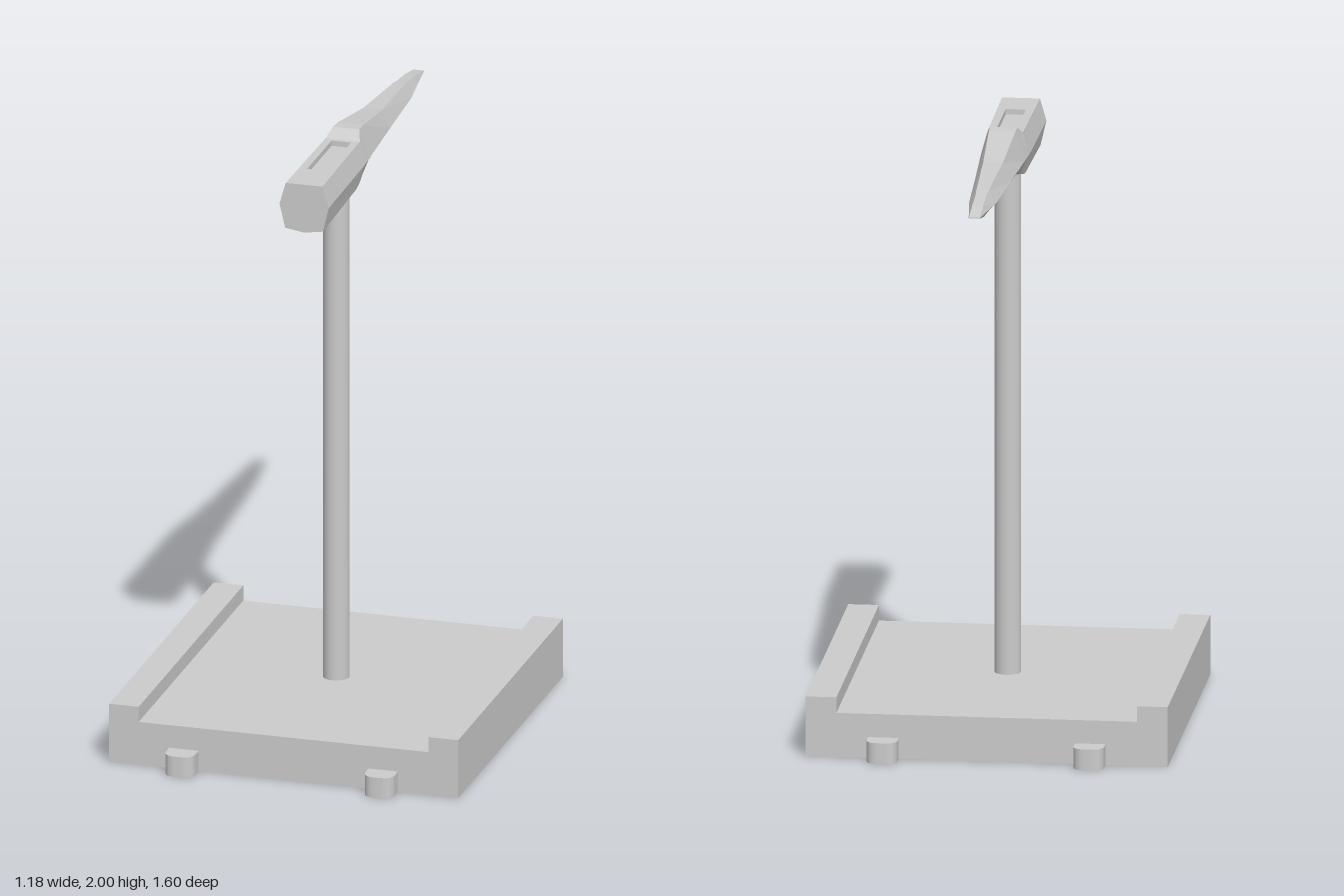
import * as THREE from 'three';

const material = new THREE.MeshStandardMaterial({ color: 0xcccccc });
const flatMaterial = new THREE.MeshStandardMaterial({ color: 0xcccccc, flatShading: true });

function add(parent, name, geometry, mat = material) {
  const mesh = new THREE.Mesh(geometry, mat);
  mesh.name = name;
  parent.add(mesh);
  return mesh;
}

function polygon(points) {
  return new THREE.Shape(points.map(([x, y]) => new THREE.Vector2(x, y)));
}

const extrude = (shape, depth) =>
  new THREE.ExtrudeGeometry(shape, { depth, bevelEnabled: false, curveSegments: 8 });

// Base: a slab with a raised rail on each side, and rounded lugs at both ends
function createBase() {
  const base = new THREE.Group();
  base.name = 'base';
  const w = 0.59, rail = 0.49, front = 0.725, back = -0.455;
  const section = polygon([[-w, 0], [w, 0], [w, 0.2], [rail, 0.2], [rail, 0.148],
    [-rail, 0.148], [-rail, 0.2], [-w, 0.2]]);
  add(base, 'railedSlab', extrude(section, front - back)).position.z = back;

  const hw = 0.05, reach = 0.075, r = 0.042;
  const outline = new THREE.Shape();
  outline.moveTo(-hw, 0);
  outline.lineTo(hw, 0);
  outline.lineTo(hw, reach - r);
  outline.quadraticCurveTo(hw, reach, hw - r, reach);
  outline.lineTo(-hw + r, reach);
  outline.quadraticCurveTo(-hw, reach, -hw, reach - r);
  const lugGeometry = extrude(outline, 0.07).rotateX(-Math.PI / 2); // reaches towards -z
  for (const x of [-0.337, 0.337]) {
    add(base, 'backLug', lugGeometry).position.set(x, 0, back);
    const lug = add(base, 'frontLug', lugGeometry);
    lug.position.set(x, 0, front);
    lug.rotation.y = Math.PI;
  }
  return base;
}

// Head: seven-sided sections lofted from the flat face to the chisel tip
function createHead() {
  const head = new THREE.Group();
  head.name = 'hammerHead';
  const topY = 1.973, faceZ = 0.495, stepZ = 0.06;
  // z, top y, top half width, middle y, middle half width, bottom y, bottom half width, keel y
  const stations = [
    [faceZ, topY, 0.062, 1.9, 0.083, 1.818, 0.064, 1.808],
    [0.1, topY, 0.058, 1.9, 0.079, 1.826, 0.06, 1.82],
    [stepZ, topY, 0.058, 1.9, 0.078, 1.834, 0.058, 1.829],
    [0.02, 2.0, 0.045, 1.9, 0.076, 1.846, 0.055, 1.843],
    [-0.03, 1.998, 0.043, 1.9, 0.073, 1.861, 0.05, 1.858],
    [-0.28, 1.96, 0.032, 1.9, 0.059, 1.87, 0.036, 1.868],
    [-0.57, 1.943, 0.02, 1.9, 0.044, 1.88, 0.024, 1.877],
    [-0.61, 1.938, 0.018, 1.902, 0.039, 1.882, 0.022, 1.88],
    [-0.7, 1.928, 0.018, 1.906, 0.029, 1.889, 0.02, 1.888],
    [-0.795, 1.911, 0.018, 1.909, 0.019, 1.907, 0.018, 1.907],
  ];
  const rings = stations.map(([z, ty, tw, my, mw, by, bw, ky]) => [
    [tw, ty, z], [mw, my, z], [bw, by, z], [0, ky, z], [-bw, by, z], [-mw, my, z], [-tw, ty, z],
  ]);
  const positions = [];
  const tri = (a, b, c) => positions.push(...a, ...b, ...c);
  for (let i = 0; i < rings.length - 1; i++) {
    for (let j = 0; j < 7; j++) {
      if (j === 6 && i < 2) continue; // the pocketed top plate fills this side
      const k = (j + 1) % 7;
      tri(rings[i][j], rings[i][k], rings[i + 1][k]);
      tri(rings[i][j], rings[i + 1][k], rings[i + 1][j]);
    }
  }
  const first = rings[0], last = rings[rings.length - 1];
  for (let j = 1; j < 6; j++) {
    tri(first[0], first[j + 1], first[j]);
    tri(last[0], last[j], last[j + 1]);
  }
  const geometry = new THREE.BufferGeometry();
  geometry.setAttribute('position', new THREE.Float32BufferAttribute(positions, 3));
  geometry.computeVertexNormals();
  add(head, 'headBody', geometry, flatMaterial);

  // Top plate with a shallow rectangular pocket
  const depth = 0.018, px = 0.033, z0 = 0.075, z1 = 0.35;
  const plate = polygon([[-0.062, -faceZ], [0.062, -faceZ], [0.058, -stepZ], [-0.058, -stepZ]]);
  plate.holes.push(polygon([[-px, -z1], [-px, -z0], [px, -z0], [px, -z1]]));
  add(head, 'topPlate', extrude(plate, depth).rotateX(-Math.PI / 2)).position.y = topY - depth;
  const floor = add(head, 'pocketFloor', new THREE.BoxGeometry(px * 2 + 0.01, 0.01, z1 - z0 + 0.01));
  floor.position.set(0, topY - depth - 0.005, (z0 + z1) / 2);
  return head;
}

export function createModel() {
  const model = new THREE.Group();
  model.name = 'hammerOnStand';
  model.add(createBase());
  const bottom = 0.14, top = 1.86;
  const handle = add(model, 'handle', new THREE.CylinderGeometry(0.043, 0.043, top - bottom, 32));
  handle.position.set(0, (bottom + top) / 2, 0.132);
  model.add(createHead());
  return model;
}
